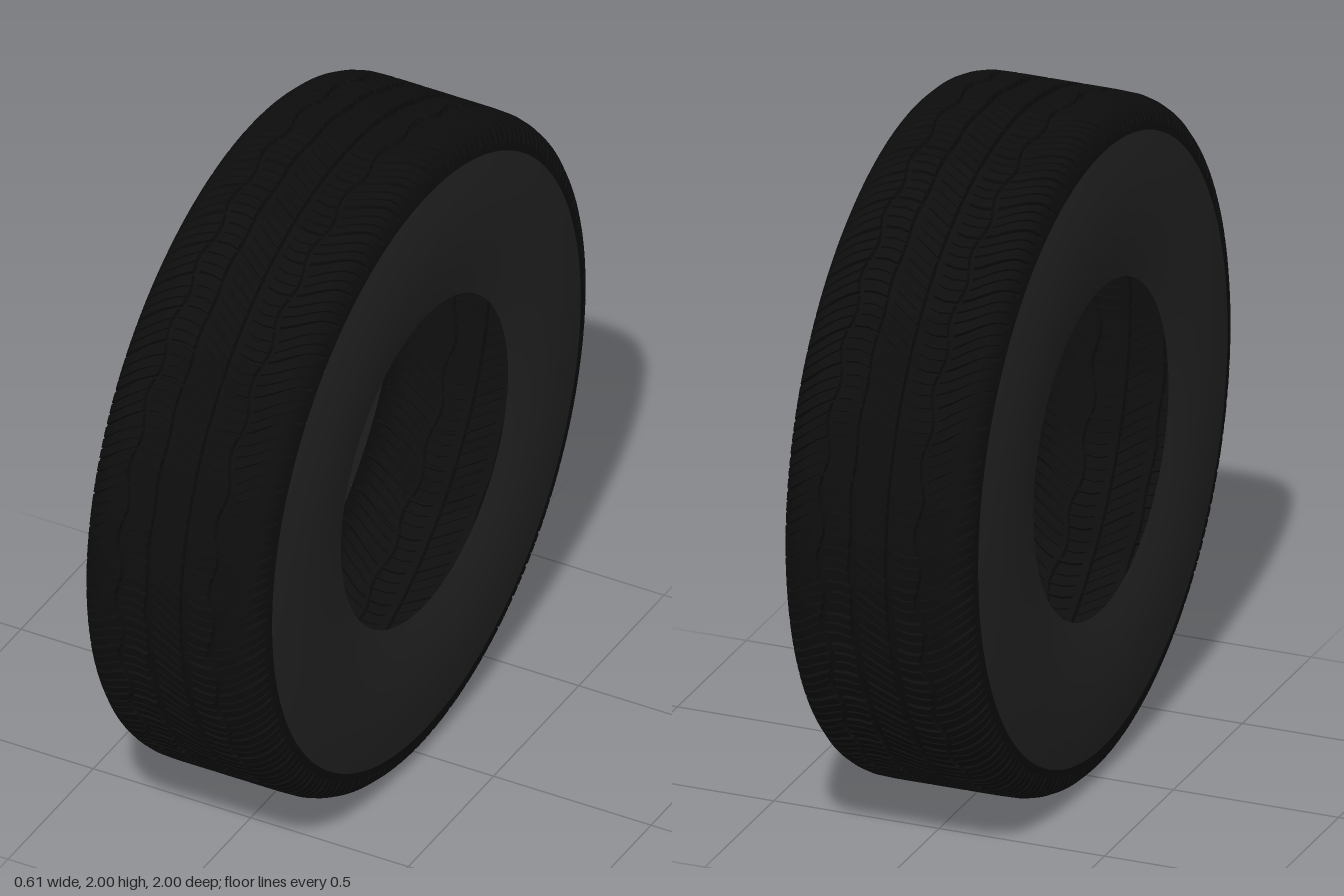
import * as THREE from 'three';
import { toCreasedNormals } from 'three/addons/utils/BufferGeometryUtils.js';

const PITCHES = 60;

// Half of the tread section: [x, radius, groove depth, slot depth, wobble]
const HALF = [
  [0, 1, 0, 0.007, 0],
  [0.042, 1, 0, 0.007, 0],
  [0.044, 1, 0.017, 0, 0],
  [0.066, 1, 0.017, 0, 0.003],
  [0.068, 1, 0, 0.011, 0.003],
  [0.1, 1, 0, 0.011, 0.006],
  [0.138, 1, 0, 0.011, 0.01],
  [0.141, 1, 0.015, 0, 0.01],
  [0.153, 1, 0.015, 0, 0.01],
  [0.156, 1, 0, 0.013, 0.01],
  [0.18, 0.999, 0, 0.013, 0.004],
  [0.205, 0.998, 0, 0.013, 0],
  [0.23, 0.992, 0, 0.013, 0],
  [0.252, 0.982, 0, 0.013, 0],
  [0.27, 0.965, 0, 0.012, 0],
  [0.28, 0.943, 0, 0.009, 0],
  [0.284, 0.926, 0, 0, 0],
  [0.287, 0.905, 0, 0, 0],
];

// One pitch of the pattern: [fraction of pitch, share of the slot depth]
const PITCH = [
  [0, 0], [0.27, 0], [0.285, 0.6], [0.325, 0.6],
  [0.34, 0], [0.58, 0], [0.595, 0.6], [0.635, 0.6],
  [0.65, 0], [0.88, 0], [0.9, 1], [0.98, 1],
];

// Tread shell: a sheared grid pushed inwards at grooves, slots and sipes
function treadGeometry() {
  const mirrored = HALF.slice(1).reverse().map(([x, ...rest]) => [-x, ...rest]);
  const columns = [...mirrored, ...HALF];
  const rows = PITCHES * PITCH.length;
  const positions = [];
  const index = [];

  for (let i = 0; i < rows; i++) {
    const [fraction, share] = PITCH[i % PITCH.length];
    const v = (Math.floor(i / PITCH.length) + fraction) / PITCHES * Math.PI * 2;
    for (const [x0, r0, groove, slot, wobble] of columns) {
      const depth = Math.max(groove, slot * share);
      // Inset straight down on the crown, towards the shoulder centre at the edge
      const dx = Math.sign(x0) * Math.min(0, 0.2 - Math.abs(x0));
      const dr = 0.9 - r0;
      const k = depth / Math.hypot(dx, dr);
      const x = x0 + dx * k + wobble * Math.sin(v * PITCHES / 2);
      const r = r0 + dr * k;
      const a = v + 0.05 * Math.sin(x0 * 14);
      positions.push(x, r * Math.cos(a), r * Math.sin(a));
    }
  }

  const n = columns.length;
  for (let i = 0; i < rows; i++) {
    for (let j = 0; j < n - 1; j++) {
      const p = i * n + j;
      const q = ((i + 1) % rows) * n + j;
      index.push(p, q, p + 1, q, q + 1, p + 1);
    }
  }

  const geometry = new THREE.BufferGeometry();
  geometry.setAttribute('position', new THREE.Float32BufferAttribute(positions, 3));
  geometry.setIndex(index);
  return toCreasedNormals(geometry, 0.5);
}

// Sidewall sheet from tread edge to bead, bulging slightly in the middle
function sidewallGeometry(side) {
  const profile = [
    [0.905, 0.287], [0.86, 0.294], [0.8, 0.301], [0.73, 0.305],
    [0.66, 0.304], [0.59, 0.298], [0.53, 0.289], [0.49, 0.281],
  ].map(([r, x]) => new THREE.Vector2(r, x * side));
  if (side < 0) profile.reverse();
  return new THREE.LatheGeometry(profile, 180).rotateZ(-Math.PI / 2);
}

export function createModel() {
  const treadRubber = new THREE.MeshStandardMaterial({ color: 0x0d0d0d, side: THREE.DoubleSide });
  const sidewallRubber = new THREE.MeshStandardMaterial({ color: 0x222222, side: THREE.DoubleSide });

  const tyre = new THREE.Group();
  tyre.name = 'tyre';
  tyre.position.y = 1;

  const tread = new THREE.Mesh(treadGeometry(), treadRubber);
  tread.name = 'tread';
  tyre.add(tread);

  for (const [name, side] of [['leftSidewall', 1], ['rightSidewall', -1]]) {
    const sidewall = new THREE.Mesh(sidewallGeometry(side), sidewallRubber);
    sidewall.name = name;
    tyre.add(sidewall);
  }

  const model = new THREE.Group();
  model.name = 'model';
  model.add(tyre);
  return model;
}
